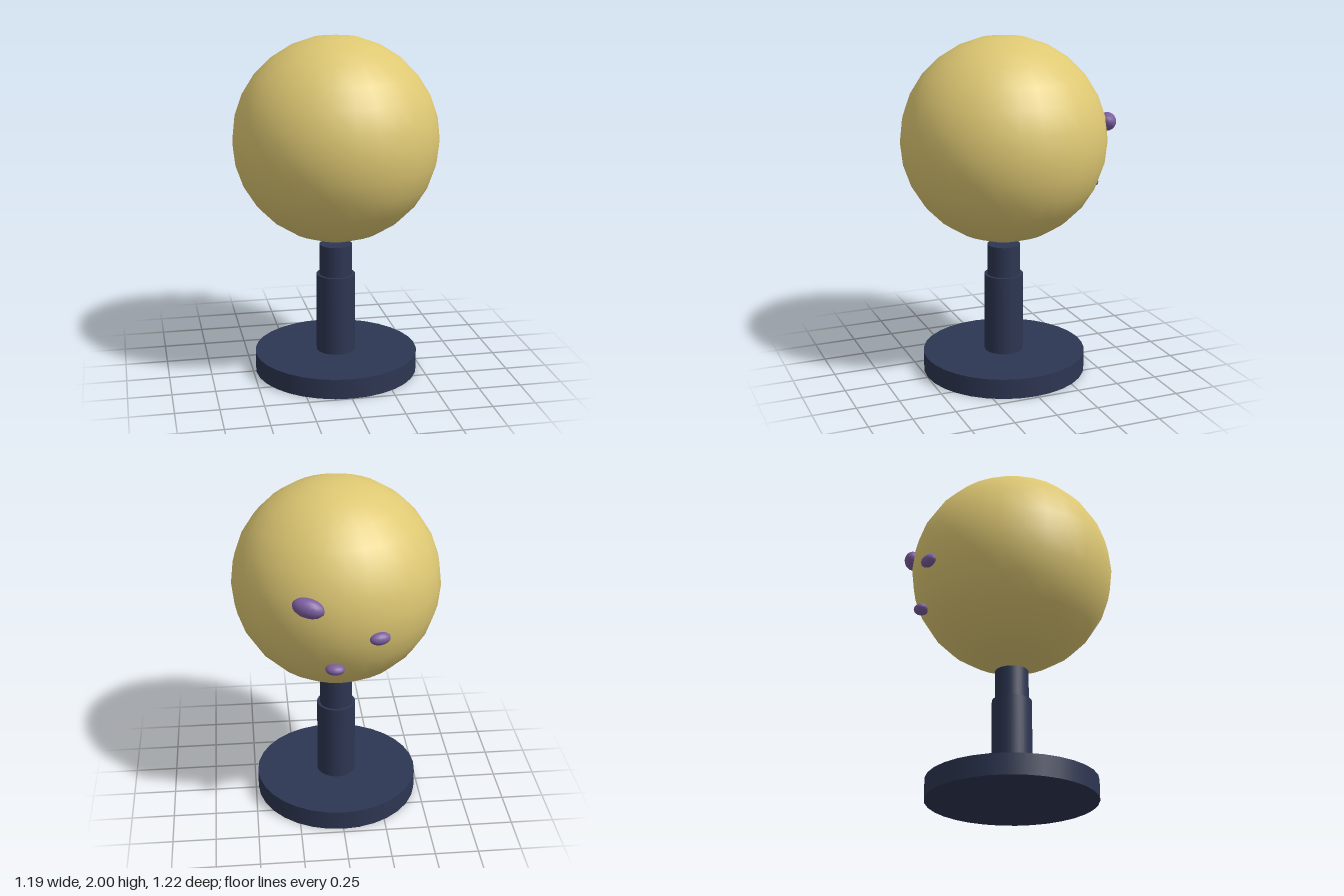
import * as THREE from 'three';

const material = (name, color) => {
  const m = new THREE.MeshStandardMaterial({ color });
  m.name = name;
  return m;
};

export function createModel() {
  const navy = material('navy', 0x2d3652);
  const yellow = material('pale yellow', 0xdec873);
  const purple = material('purple', 0x7c5e9e);
  const model = new THREE.Group();
  const centreZ = 0.0135;

  const add = (name, geometry, mat, x, y, z) => {
    const mesh = new THREE.Mesh(geometry, mat);
    mesh.name = name;
    mesh.position.set(x, y, z);
    model.add(mesh);
    return mesh;
  };

  // Stand: disc, lower post and narrower upper post
  const stand = [
    ['base', 0.484, 0, 0.118],
    ['lowerPost', 0.115, 0.118, 0.592],
    ['upperPost', 0.097, 0.592, 0.775],
  ];
  for (const [name, r, y0, y1] of stand) {
    add(name, new THREE.CylinderGeometry(r, r, y1 - y0, 32), navy, 0, (y0 + y1) / 2, centreZ);
  }

  // Globe floating just above the post
  add('globe', new THREE.SphereGeometry(0.597, 28, 14), yellow, 0, 1.403, centreZ);

  // Flattened lumps on the back, turned to lie along the globe: position, half sizes, roll
  const lumps = [
    [[0.198, 1.502, -0.548], [0.09, 0.054, 0.052], 0.2],
    [[-0.183, 1.307, -0.553], [0.06, 0.035, 0.036], 0],
    [[0.055, 1.115, -0.523], [0.054, 0.03, 0.045], 0],
  ];
  for (const [[x, y, z], size, roll] of lumps) {
    const lump = add('lump', new THREE.SphereGeometry(1, 14, 10), purple, x, y, z);
    lump.scale.set(...size);
    lump.rotation.set(0, Math.atan2(x, z - centreZ) + Math.PI, roll, 'YXZ');
  }
  return model;
}
